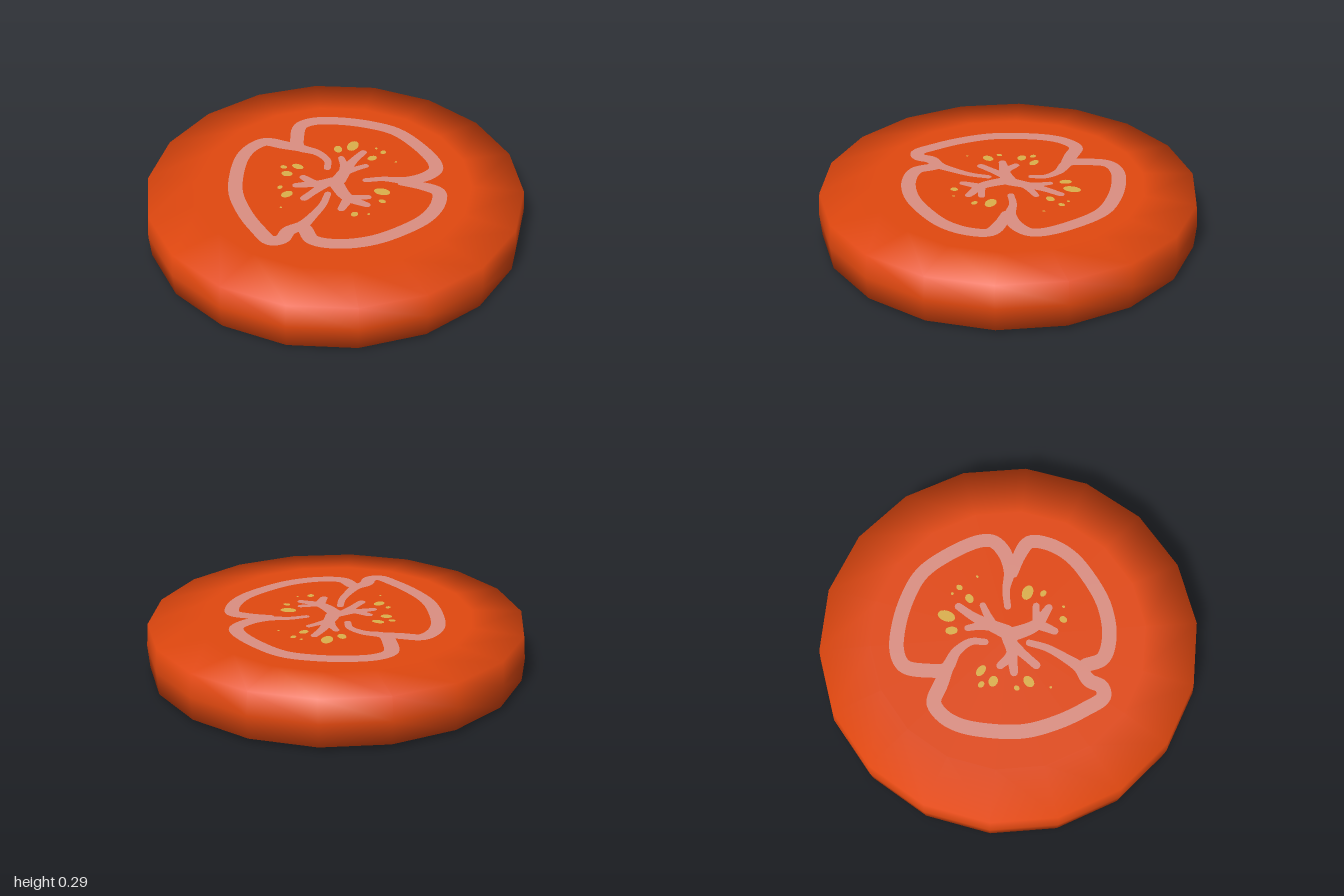
import * as THREE from 'three';
import { mergeGeometries } from 'three/addons/utils/BufferGeometryUtils.js';

const fleshMat = new THREE.MeshStandardMaterial({ color: 0xe2480f });
fleshMat.name = 'orange red flesh';
const pithMat = new THREE.MeshStandardMaterial({ color: 0xdc8f82 });
pithMat.name = 'pale pink pith';
const seedMat = new THREE.MeshStandardMaterial({ color: 0xdcb04c });
seedMat.name = 'yellow seed';

const HEIGHT = 0.288, LIFT = 0.003;

// Slice body: 18-sided disc with a softly rounded rim
function makeBody() {
  const top = HEIGHT - LIFT;
  // radius, height, tilt of the normal above the horizon
  const rows = [
    [0, LIFT, -90], [0.72, LIFT, -90], [0.99, 0.02, -35], [1, HEIGHT / 2, 0],
    [0.99, 0.268, 35], [0.72, top, 90], [0, top, 90],
  ];
  const sides = 18;
  const geo = new THREE.LatheGeometry(rows.map(([r, y]) => new THREE.Vector2(r, y)), sides);
  for (let i = 0; i <= sides; i++) {
    const a = (i / sides) * Math.PI * 2;
    rows.forEach((row, j) => {
      const t = THREE.MathUtils.degToRad(row[2]);
      geo.attributes.normal.setXYZ(i * rows.length + j,
        Math.cos(t) * Math.sin(a), Math.sin(t), Math.cos(t) * Math.cos(a));
    });
  }
  const body = new THREE.Mesh(geo, fleshMat);
  body.name = 'sliceBody';
  return body;
}

// Flat upward-facing ellipse
function disc(x, z, rx, rz, turn = 0) {
  return new THREE.CircleGeometry(1, 14).rotateX(-Math.PI / 2)
    .scale(rx, 1, rz).rotateY(turn).translate(x, 0, z);
}

// Flat ribbon with round ends; points are [x, z, halfWidth] in hundredths
function ribbon(points, half) {
  const curve = new THREE.CatmullRomCurve3(points.map(([x, z, w = half]) =>
    new THREE.Vector3(x / 100, w / 100, z / 100)));
  const steps = points.length * 5;
  const pos = [], nor = [], uv = [], idx = [];
  for (let i = 0; i <= steps; i++) {
    const p = curve.getPoint(i / steps), t = curve.getTangent(i / steps);
    const len = Math.hypot(t.x, t.z);
    const nx = (t.z / len) * p.y, nz = (-t.x / len) * p.y;
    pos.push(p.x + nx, 0, p.z + nz, p.x - nx, 0, p.z - nz);
    nor.push(0, 1, 0, 0, 1, 0);
    uv.push(0, 0, 1, 0);
    const a = i * 2;
    if (i < steps) idx.push(a, a + 1, a + 2, a + 1, a + 3, a + 2);
  }
  const geo = new THREE.BufferGeometry();
  geo.setAttribute('position', new THREE.Float32BufferAttribute(pos, 3));
  geo.setAttribute('normal', new THREE.Float32BufferAttribute(nor, 3));
  geo.setAttribute('uv', new THREE.Float32BufferAttribute(uv, 2));
  geo.setIndex(idx);
  const ends = [points[0], points[points.length - 1]].map(([x, z, w = half]) =>
    disc(x / 100, z / 100, w / 100, w / 100));
  return mergeGeometries([geo, ...ends]);
}

// Walls of the three seed chambers, each running into a thin spoke
const walls = [
  [[-10, -8, 1.8], [-14, -14, 2], [-23, -17, 2.6], [-34, -16, 3.5], [-40, -23], [-45, -34],
    [-41, -42], [-29, -50], [-13, -56], [2, -58], [19, -53], [35, -44], [39, -38],
    [37, -29], [30, -21, 3], [20, -16, 2], [13, -10, 1.8]],
  [[30, -18, 2], [41, -22, 3.5], [50, -22], [55, -13], [56, 0], [52, 14], [43, 31],
    [30, 43], [18, 47], [10, 42]],
  [[-31, -16, 3], [-42, -13], [-52, -10], [-55, -2], [-54, 8], [-47, 23], [-37, 37],
    [-23, 48], [-10, 55], [1, 59], [5, 55], [4, 48], [7, 40, 3.2], [7, 30, 2.4],
    [6, 20, 2], [3, 11, 1.8]],
];

// Branching core
const core = [
  [[-2, -31, 2], [-2, -20, 2.5], [1, -2, 4]],
  [[-9, -20, 1.7], [-4, -15, 2.2], [0, -8, 2.5]],
  [[6, -21, 1.7], [3, -16, 2], [0, -10, 2.5]],
  [[0, 0, 4], [13, 8, 3.2], [25, 8, 2]],
  [[16, 18, 2], [14, 8, 3]],
  [[15, 7, 2], [22, 2, 1.8]],
  [[0, 0, 4], [-7, 7, 3], [-16, 6, 2]],
  [[-7, 7, 3], [-15, 14, 2]],
  [[-3, 5, 3], [-4, 13, 2.3], [-5, 21, 2.2]],
];

// Seeds: x, z, half length, half width (hundredths), turn
const seeds = [
  [-10, -33, 3, 4.8, 0.25], [-15, -26, 2.2, 3.3, 0.7], [5, -29, 2.1, 2.7, -0.4],
  [7, -37, 1.5, 1.8, 0], [2, -38, 0.8, 0.8, 0], [17.5, -33, 0.6, 0.8, 0],
  [25.5, -6, 4.3, 2.9, 0.25], [30, 1, 2, 1.5, 0], [30, 14, 0.7, 0.8, 0],
  [24, 18, 1.8, 2.1, 0], [-24, -0.5, 3.4, 2.1, 0], [-30, 4, 1.9, 1.5, 0],
  [-25, 8, 3, 2.4, 0.3], [-21, 20, 1.3, 1.6, 0], [-14.5, 23, 2.5, 3.4, -0.3],
  [-10.5, 34, 0.7, 0.6, 0],
];

function createCutFace() {
  const face = new THREE.Group();
  const add = (name, geos, mat) => {
    const mesh = new THREE.Mesh(mergeGeometries(geos), mat);
    mesh.name = name;
    face.add(mesh);
  };
  add('chamberWalls', walls.map((p) => ribbon(p, 3.8)), pithMat);
  add('core', core.map((p) => ribbon(p, 2.5)), pithMat);
  add('seeds', seeds.map(([x, z, a, b, t]) => disc(x / 100, z / 100, a / 100, b / 100, t)), seedMat);
  return face;
}

export function createModel() {
  const model = new THREE.Group();
  model.name = 'vegetableSlice';
  model.add(makeBody());

  const topFace = createCutFace();
  topFace.name = 'topCutFace';
  topFace.position.y = HEIGHT;
  model.add(topFace);

  // Same pattern turned over, with a slight twist
  const bottomFace = createCutFace();
  bottomFace.name = 'bottomCutFace';
  bottomFace.rotation.set(Math.PI, Math.PI / 9, 0);
  model.add(bottomFace);
  return model;
}
